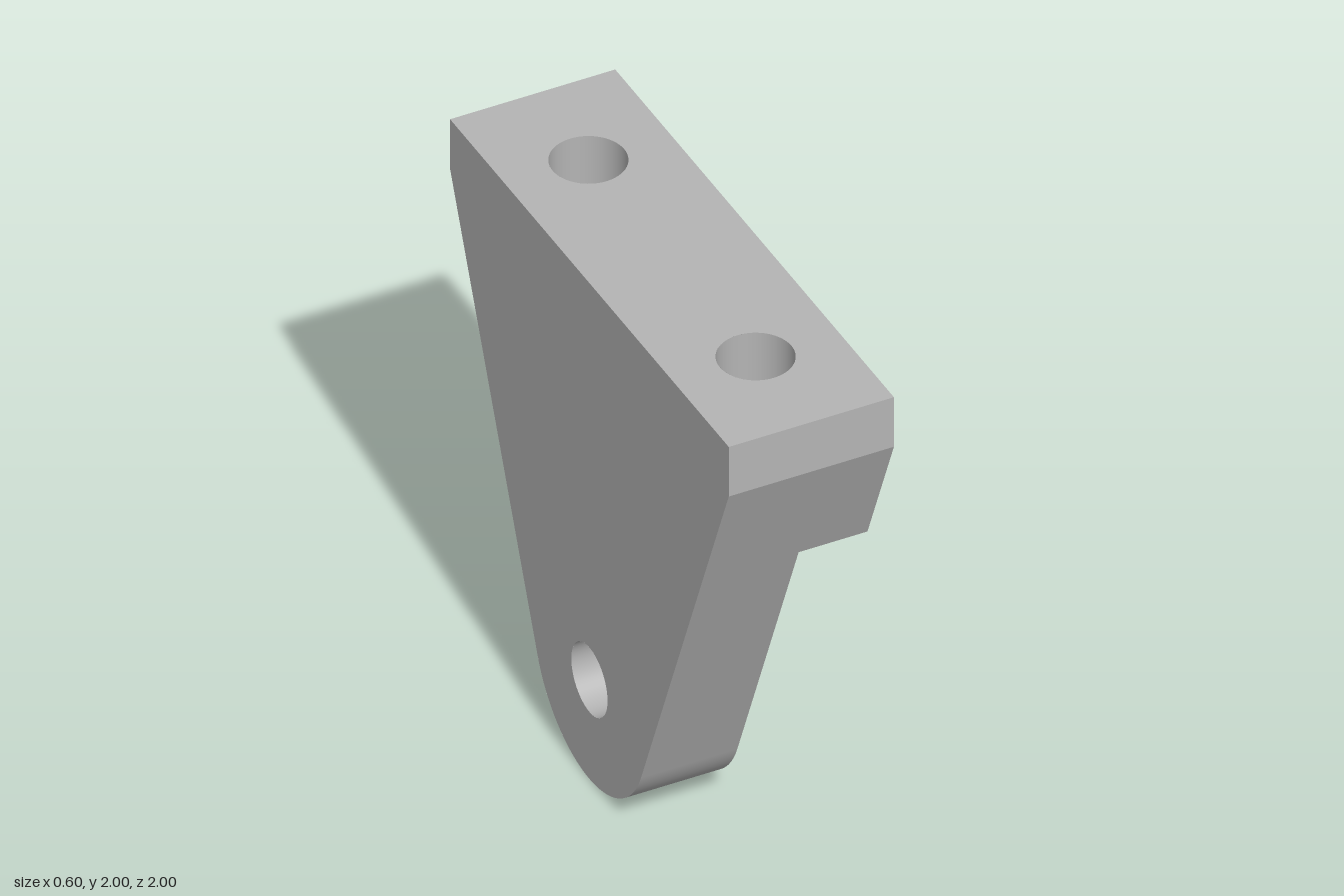
import * as THREE from 'three';

const BACK = -0.3, STEP = 0.05, FRONT = 0.3;      // x of the outer face, the recessed face and the thick face
const PIN = { y: 0.4, r: 0.13, outer: 0.4 };      // pin hole and rounded end
const BOLT = { z: 0.6, r: 0.13, floor: 1.2 };     // blind bolt holes from the top
const C30 = Math.cos(Math.PI / 6), T30 = Math.tan(Math.PI / 6);
const TIP = 0.865;                                // lowest point of the V
const vee = z => TIP + T30 * z;
const TANGENT = 0.3855;                           // angle where the sides meet the round end
const tan = [PIN.outer * Math.cos(TANGENT), PIN.y - PIN.outer * Math.sin(TANGENT)];
const shoulder = [1, 1.8], corner = [1, 2], veeEnd = [0.81, vee(0.81)];

export function createModel() {
  const steel = new THREE.MeshStandardMaterial({ color: 0xb4b4b4, side: THREE.DoubleSide });
  steel.name = 'grey steel';
  const model = new THREE.Group();
  model.name = 'bracket';

  const add = (parent, name, geometry) => {
    const mesh = new THREE.Mesh(geometry, steel);
    mesh.name = name;
    parent.add(mesh);
    return mesh;
  };

  // Flat face: shape axes u and v placed in space at an origin
  const face = (shape, u, v, origin) => {
    const U = new THREE.Vector3(...u), V = new THREE.Vector3(...v);
    const m = new THREE.Matrix4().makeBasis(U, V, U.clone().cross(V)).setPosition(...origin);
    return new THREE.ShapeGeometry(shape, 32).applyMatrix4(m);
  };

  // Outline symmetric about z = 0, from the points of one half
  const symmetric = half => {
    const other = half.map(([z, y]) => [-z, y]).reverse();
    return new THREE.Shape([...half, ...other].map(p => new THREE.Vector2(...p)));
  };
  const circle = (x, y, r) => new THREE.Path().absarc(x, y, r, 0, Math.PI * 2, true);

  // Points of the round end, from the tangent to near the bottom
  const round = [];
  for (let i = 0; i <= 16; i++) {
    const a = -TANGENT - (Math.PI / 2 - TANGENT) * (i / 16.5);
    round.push([PIN.outer * Math.cos(a), PIN.y + PIN.outer * Math.sin(a)]);
  }

  // Outer face, full outline
  const full = symmetric([corner, shoulder, ...round]);
  full.holes.push(circle(0, PIN.y, PIN.r));
  add(model, 'outerFace', face(full, [0, 0, 1], [0, 1, 0], [BACK, 0, 0]));

  // Recessed face of the lug, notched where the bolt holes break out
  const breakIn = (BOLT.floor - TIP) / T30;
  const breakOut = BOLT.z + Math.sqrt(BOLT.r ** 2 - STEP ** 2);
  const lug = symmetric([
    [0.0001, TIP], [breakIn, BOLT.floor], [breakOut, BOLT.floor],
    [breakOut, vee(breakOut)], veeEnd, ...round,
  ]);
  lug.holes.push(circle(0, PIN.y, PIN.r));
  add(model, 'lugFace', face(lug, [0, 0, -1], [0, 1, 0], [STEP, 0, 0]));

  // Thick upper block face ending in a V
  add(model, 'blockFace', face(symmetric([corner, shoulder, veeEnd, [0.0001, TIP]]),
    [0, 0, -1], [0, 1, 0], [FRONT, 0, 0]));

  // Top face with two bolt holes
  const top = new THREE.Shape([[BACK, -1], [FRONT, -1], [FRONT, 1], [BACK, 1]]
    .map(p => new THREE.Vector2(...p)));
  top.holes.push(circle(0, BOLT.z, BOLT.r), circle(0, -BOLT.z, BOLT.r));
  add(model, 'topFace', face(top, [1, 0, 0], [0, 0, -1], [0, 2, 0]));

  // Round end and pin hole wall
  const across = (r, start, length) =>
    new THREE.CylinderGeometry(r, r, STEP - BACK, 48, 1, true, start, length)
      .rotateZ(Math.PI / 2).translate((STEP + BACK) / 2, PIN.y, 0);
  add(model, 'roundEnd', across(PIN.outer, Math.PI + TANGENT, Math.PI - 2 * TANGENT));
  add(model, 'pinHole', across(PIN.r, 0, Math.PI * 2));

  // Everything that repeats on both ends
  const half = new THREE.Group();
  half.name = 'frontHalf';

  // Side walls
  const wall = ([za, ya], [zb, yb], x1) => {
    const rect = new THREE.Shape();
    const length = Math.hypot(zb - za, yb - ya);
    rect.moveTo(BACK, 0).lineTo(x1, 0).lineTo(x1, length).lineTo(BACK, length);
    return face(rect, [1, 0, 0], [0, (yb - ya) / length, (zb - za) / length], [0, ya, za]);
  };
  add(half, 'lugSide', wall(tan, veeEnd, STEP));
  add(half, 'blockSide', wall(veeEnd, shoulder, FRONT));
  add(half, 'blockEnd', wall(shoulder, corner, FRONT));

  // Sloping underside of the block, cut by the bolt hole
  const edgeAngle = Math.acos(STEP / BOLT.r);
  const cutAngle = Math.asin((breakIn - BOLT.z) / BOLT.r);
  const slope = new THREE.Shape();
  slope.moveTo(STEP, 0);
  slope.lineTo(FRONT, 0);
  slope.lineTo(FRONT, veeEnd[0] / C30);
  slope.lineTo(STEP, veeEnd[0] / C30);
  slope.absellipse(0, BOLT.z / C30, BOLT.r, BOLT.r / C30, edgeAngle, cutAngle, true);
  slope.lineTo(STEP, breakIn / C30);
  add(half, 'blockUnderside', face(slope, [1, 0, 0], [0, 0.5, C30], [0, TIP, 0]));

  // Bolt hole floor, open where it breaks out of the V
  const floor = new THREE.Shape();
  floor.moveTo(STEP, breakIn - BOLT.z);
  floor.absarc(0, 0, BOLT.r, edgeAngle, Math.PI * 2 + cutAngle, false);
  add(half, 'boltHoleFloor', face(floor, [1, 0, 0], [0, 0, 1], [0, BOLT.floor, BOLT.z]));

  // Bolt hole walls: full depth in the lug, trimmed to the V in the block
  const depth = 2 - BOLT.floor, t0 = Math.asin(STEP / BOLT.r);
  const bore = (segments, start, length) =>
    new THREE.CylinderGeometry(BOLT.r, BOLT.r, depth, segments, 1, true, start, length)
      .translate(0, BOLT.floor + depth / 2, BOLT.z);
  add(half, 'boltHoleInner', bore(32, Math.PI - t0, Math.PI + 2 * t0));
  const trimmed = bore(24, t0, Math.PI - 2 * t0);
  const pos = trimmed.attributes.position;
  for (let i = 0; i < pos.count; i++) {
    if (pos.getY(i) < 1.5) pos.setY(i, Math.max(BOLT.floor, vee(pos.getZ(i))));
  }
  add(half, 'boltHoleOuter', trimmed);

  const mirrored = half.clone();
  mirrored.name = 'backHalf';
  mirrored.scale.z = -1;
  model.add(half, mirrored);
  return model;
}
